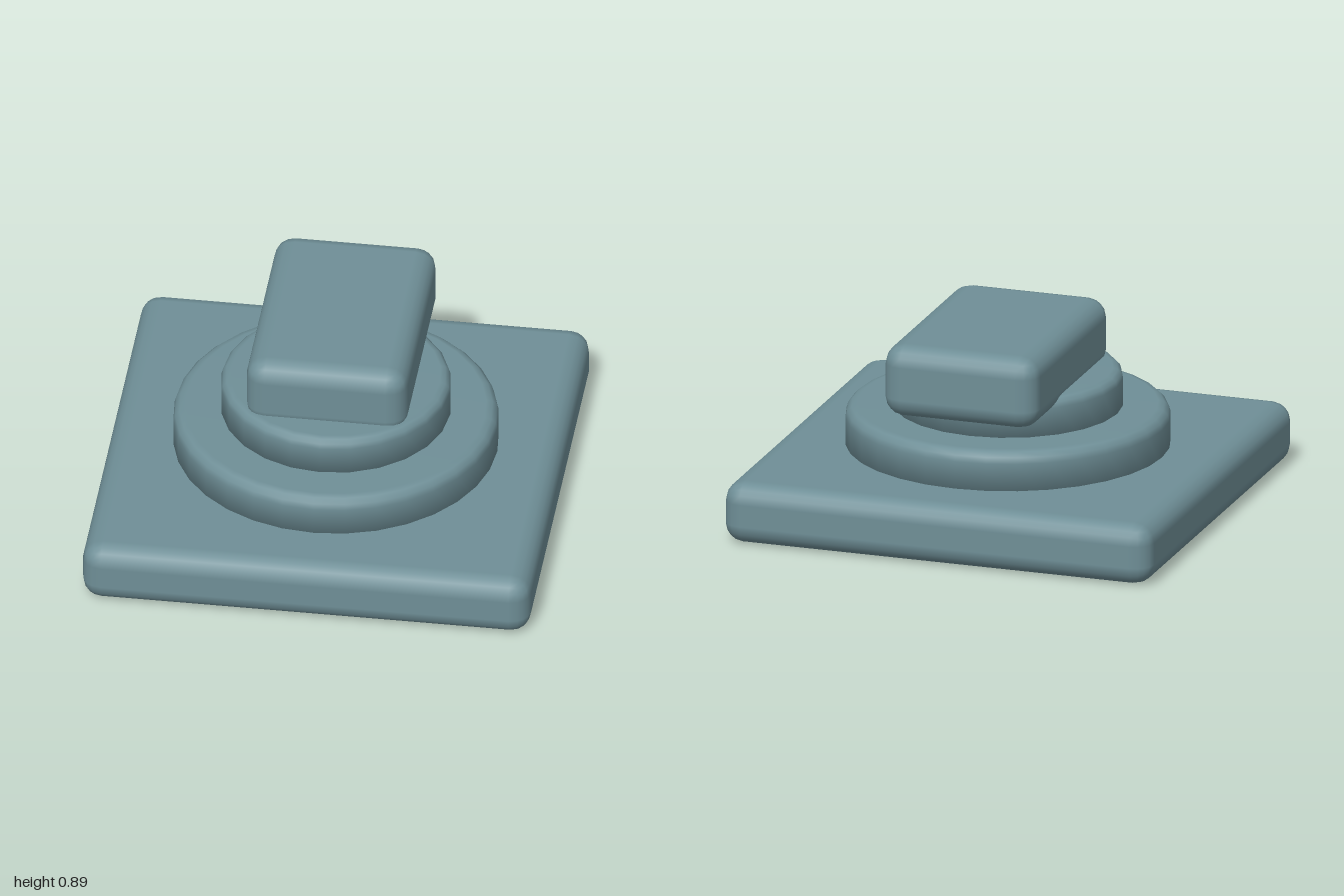
import * as THREE from 'three';
import { RoundedBoxGeometry } from 'three/addons/geometries/RoundedBoxGeometry.js';

const material = new THREE.MeshStandardMaterial({ color: 0x6f8f97 });

function add(group, name, geometry, x, y, z) {
  const mesh = new THREE.Mesh(geometry, material);
  mesh.name = name;
  mesh.position.set(x, y, z);
  group.add(mesh);
}

// Solid disc standing on y = 0 with a rounded upper rim
function discGeometry(radius, height, bevel, sides) {
  const profile = [new THREE.Vector2(0, 0), new THREE.Vector2(radius, 0)];
  const steps = 3;
  for (let i = 0; i <= steps; i++) {
    const a = (i / steps) * Math.PI / 2;
    profile.push(new THREE.Vector2(
      radius - bevel + bevel * Math.cos(a),
      height - bevel + bevel * Math.sin(a)
    ));
  }
  profile.push(new THREE.Vector2(0, height));
  return new THREE.LatheGeometry(profile, sides);
}

export function createModel() {
  const group = new THREE.Group();
  group.name = 'steppedPedestal';

  // Square plinth
  add(group, 'basePlate', new RoundedBoxGeometry(2, 0.28, 2, 2, 0.09), 0, 0.14, 0);

  // Two stacked discs, each sunk slightly into the part below
  add(group, 'lowerDisc', discGeometry(0.72, 0.24, 0.055, 32), 0, 0.22, 0);
  add(group, 'upperDisc', discGeometry(0.51, 0.22, 0.045, 24), 0, 0.41, 0);

  // Block overhanging the discs towards the back
  add(group, 'topBlock', new RoundedBoxGeometry(0.72, 0.33, 1.05, 2, 0.09), 0, 0.725, -0.165);

  return group;
}
